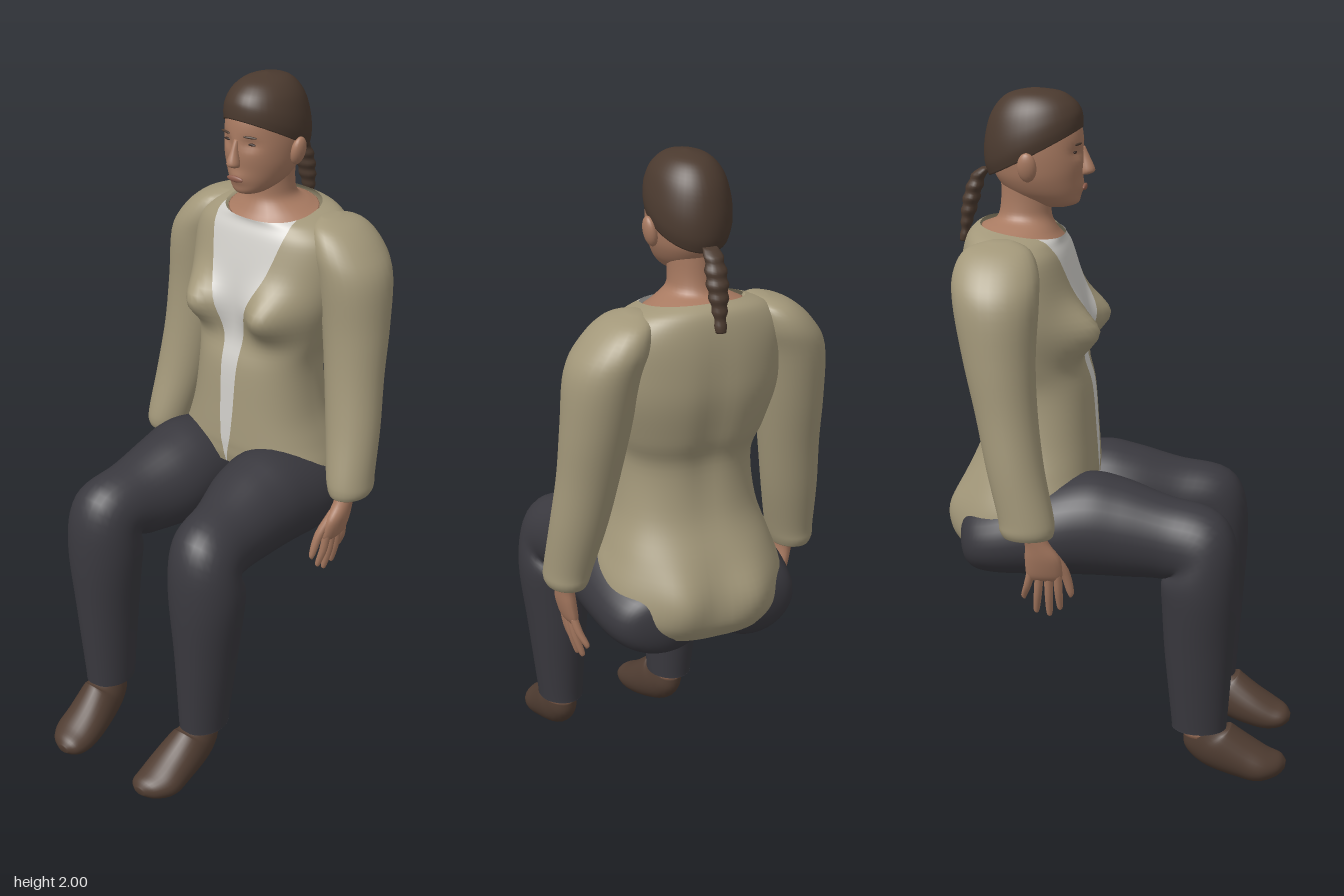
import * as THREE from 'three';

const mat = (name, color, side = THREE.FrontSide) => {
  const m = new THREE.MeshStandardMaterial({ color, side });
  m.name = name;
  return m;
};

// Sections are [x, y, z, halfWidth, halfDepth, tilt, opening], listed downward or forward.
// Tilt 0 is a level ring; a quarter turn stands the ring up, facing +z.
function smoothSections(sections, steps) {
  const out = [];
  const at = (i, k) => sections[Math.min(Math.max(i, 0), sections.length - 1)][k] ?? 0;
  for (let i = 0; i < sections.length - 1; i++) {
    for (let s = 0; s < steps; s++) {
      const t = s / steps;
      out.push([0, 1, 2, 3, 4, 5, 6].map((k) => {
        const [a, b, c, d] = [at(i - 1, k), at(i, k), at(i + 1, k), at(i + 2, k)];
        return b + 0.5 * t * (c - a + t * (2 * a - 5 * b + 4 * c - d + t * (3 * (b - c) + d - a)));
      }));
    }
  }
  out.push([0, 1, 2, 3, 4, 5, 6].map((k) => at(sections.length - 1, k)));
  return out;
}

// Skin a smooth surface over the sections; arc(section) limits it to part of each ring.
function loft(sections, { cols = 28, steps = 5, power = 1, arc = null, bend = null } = {}) {
  const rings = smoothSections(sections, steps);
  const pos = [], index = [];
  const n = arc ? cols + 1 : cols;
  const pow = (v) => Math.sign(v) * Math.abs(v) ** power;
  for (const s of rings) {
    const [x, y, z, rx, rd, tilt] = s;
    const [t0, t1] = arc ? arc(s, power) : [0, Math.PI * 2];
    for (let j = 0; j < n; j++) {
      const t = t0 + (t1 - t0) * j / cols;
      const u = Math.max(rx, 0.002) * pow(Math.cos(t)), v = Math.max(rd, 0.002) * pow(Math.sin(t));
      const p = new THREE.Vector3(x + u, y + v * Math.sin(tilt), z + v * Math.cos(tilt));
      if (bend) bend(p);
      pos.push(p.x, p.y, p.z);
    }
  }
  for (let i = 0; i < rings.length - 1; i++) {
    for (let j = 0; j < cols; j++) {
      const k = (j + 1) % n;
      const a = i * n + j, b = i * n + k, c = a + n, d = b + n;
      index.push(a, b, c, b, d, c);
    }
  }
  if (!arc) { // close both ends
    const last = (rings.length - 1) * n, c0 = pos.length / 3;
    pos.push(...rings[0].slice(0, 3), ...rings[rings.length - 1].slice(0, 3));
    for (let j = 0; j < n; j++) {
      const k = (j + 1) % n;
      index.push(c0, k, j, c0 + 1, last + j, last + k);
    }
  }
  const g = new THREE.BufferGeometry();
  g.setAttribute('position', new THREE.Float32BufferAttribute(pos, 3));
  g.setIndex(index);
  g.computeVertexNormals();
  return g;
}

const bump = (dx, wx, dy, wy) => Math.exp(-((dx / wx) ** 2) - (dy / wy) ** 2);

export function createModel() {
  const root = new THREE.Group();
  const skin = mat('skin', 0xa87a61);
  const hair = mat('hair brown', 0x4b3a2f);
  const jacket = mat('jacket tan', 0xa3987a, THREE.DoubleSide);
  const shirt = mat('shirt white', 0xcfcdc8, THREE.DoubleSide);
  const trousers = mat('trousers charcoal', 0x3a393f);
  const shoe = mat('shoe brown', 0x503d32);
  const lip = mat('lip', 0x8d5c4c);
  const eye = mat('eye dark', 0x3a2b25);

  const add = (name, geometry, material) => {
    const m = new THREE.Mesh(geometry, material);
    m.name = name;
    root.add(m);
    return m;
  };
  const ball = (name, material, p, r) => {
    const m = add(name, new THREE.SphereGeometry(1, 20, 14), material);
    m.position.set(...p);
    m.scale.set(...r);
    return m;
  };
  const flip = (sections, side) => sections.map(([x, ...rest]) => [x * side, ...rest]);

  // Torso: open jacket and the shirt strip share one surface
  const torso = [
    [0, 1.61, -0.29, 0.14, 0.12, -0.15, 0.128],
    [0, 1.59, -0.305, 0.2, 0.135, -0.1, 0.128],
    [0, 1.54, -0.305, 0.245, 0.15, 0, 0.12],
    [0, 1.45, -0.295, 0.25, 0.165, 0, 0.095],
    [0, 1.36, -0.285, 0.24, 0.17, 0, 0.06],
    [0, 1.25, -0.272, 0.208, 0.157, 0, 0.035],
    [0, 1.16, -0.245, 0.185, 0.155, 0, 0.028],
    [0, 1.02, -0.245, 0.2, 0.165, 0, 0.023],
    [0, 0.92, -0.265, 0.232, 0.19, 0.1, 0.017],
    [0, 0.85, -0.28, 0.258, 0.21, 0.25, 0.01],
    [0, 0.8, -0.283, 0.265, 0.218, 0.35, 0.005],
    [0, 0.765, -0.275, 0.255, 0.21, 0.42, 0.002],
  ];
  const bodyShape = (p) => {
    const ax = Math.abs(p.x);
    if (p.z > -0.26) p.z += 0.075 * bump(ax - 0.125, 0.07, p.y - 1.335, 0.07);
    else {
      p.z -= 0.03 * bump(ax - 0.11, 0.075, p.y - 0.8, 0.09);
      p.z += 0.012 * bump(p.x, 0.05, p.y - 1.25, 0.25);
    }
  };
  const edge = (s, power) => Math.acos(Math.min(0.999, Math.max(0, s[6] / s[3])) ** (1 / power));
  const body = { power: 0.85, bend: bodyShape };
  add('jacket', loft(torso, { ...body, cols: 72, arc: (s, p) => [Math.PI - edge(s, p), 2 * Math.PI + edge(s, p)] }), jacket);
  add('shirt', loft(torso, { ...body, cols: 16, arc: (s, p) => [edge(s, p), Math.PI - edge(s, p)] }), shirt);
  ball('trouserSeat', trousers, [0, 0.745, -0.25], [0.13, 0.105, 0.19]);

  // Neck and head
  add('neck', loft([
    [0, 1.75, -0.275, 0.065, 0.075, 0], [0, 1.68, -0.28, 0.062, 0.072, 0],
    [0, 1.64, -0.285, 0.07, 0.078, 0], [0, 1.615, -0.29, 0.11, 0.1, -0.1],
    [0, 1.6, -0.29, 0.139, 0.119, -0.15],
  ]), skin);
  add('head', loft([
    [0, 1.98, -0.25, 0.04, 0.05], [0, 1.95, -0.25, 0.08, 0.1], [0, 1.9, -0.25, 0.098, 0.128],
    [0, 1.84, -0.25, 0.103, 0.135], [0, 1.79, -0.245, 0.1, 0.13], [0, 1.75, -0.24, 0.092, 0.12],
    [0, 1.71, -0.225, 0.073, 0.1], [0, 1.682, -0.2, 0.045, 0.068], [0, 1.67, -0.2, 0.02, 0.035],
  ], {
    cols: 56,
    bend: (p) => {
      if (p.z < -0.2) return;
      p.z -= 0.01 * bump(Math.abs(p.x) - 0.04, 0.022, p.y - 1.828, 0.016);
      p.z += 0.008 * bump(p.x, 0.03, p.y - 1.728, 0.02);
    },
  }), skin);
  add('nose', loft([
    [0, 1.84, -0.12, 0.007, 0.008], [0, 1.81, -0.112, 0.01, 0.014],
    [0, 1.775, -0.106, 0.018, 0.022], [0, 1.763, -0.112, 0.014, 0.014],
  ], { cols: 16 }), skin);
  ball('mouth', lip, [0, 1.727, -0.113], [0.028, 0.009, 0.006]);

  // Hair cap and braided tail
  add('hairCap', loft([
    [0, 2, -0.25, 0.004, 0.004, 0], [0, 1.986, -0.253, 0.055, 0.075, 0.05],
    [0, 1.95, -0.257, 0.09, 0.117, 0.15], [0, 1.9, -0.258, 0.108, 0.142, 0.3],
    [0, 1.855, -0.256, 0.113, 0.152, 0.42], [0, 1.825, -0.25, 0.108, 0.15, 0.48],
  ], { cols: 40 }), hair);
  const braid = [];
  for (let i = 0; i <= 12; i++) {
    const t = i / 12;
    const r = (0.016 + 0.014 * Math.sin(Math.PI * Math.min(1, t + 0.15))) * (i % 2 ? 1.08 : 0.9);
    braid.push([0, 1.775 - 0.21 * t, -0.392 - 0.07 * Math.sqrt(t), r, r * 0.8, 0]);
  }
  add('braid', loft(braid, { cols: 14, steps: 3 }), hair);

  for (const side of [1, -1]) {
    const label = side > 0 ? 'left' : 'right';
    const limb = (name, sections, material, options) =>
      add(label + name, loft(flip(sections, side), options), material);

    // Face details
    ball(label + 'Ear', skin, [side * 0.108, 1.795, -0.258], [0.018, 0.042, 0.027]).rotation.z = -side * 0.2;
    ball(label + 'Eye', eye, [side * 0.04, 1.829, -0.1345], [0.015, 0.004, 0.005]);
    ball(label + 'Brow', hair, [side * 0.043, 1.852, -0.1245], [0.021, 0.0035, 0.004]).rotation.y = side * 0.3;

    // Sleeve
    limb('Sleeve', [
      [0.18, 1.607, -0.32, 0.02, 0.03], [0.205, 1.585, -0.325, 0.062, 0.09],
      [0.238, 1.53, -0.325, 0.092, 0.118], [0.272, 1.45, -0.32, 0.102, 0.118],
      [0.29, 1.3, -0.31, 0.096, 0.1], [0.305, 1.15, -0.29, 0.087, 0.086],
      [0.325, 1, -0.265, 0.08, 0.08], [0.344, 0.87, -0.235, 0.068, 0.078],
      [0.35, 0.83, -0.23, 0.063, 0.077], [0.35, 0.81, -0.228, 0.055, 0.07],
    ], jacket);

    // Hand with four fingers and a thumb
    limb('Palm', [
      [0.347, 0.84, -0.225, 0.03, 0.035], [0.345, 0.79, -0.205, 0.026, 0.034],
      [0.338, 0.74, -0.19, 0.026, 0.05], [0.328, 0.69, -0.187, 0.021, 0.052],
      [0.324, 0.67, -0.187, 0.012, 0.045],
    ], skin, { cols: 18 });
    [[-0.15, -0.148, 0.57], [-0.175, -0.178, 0.55], [-0.2, -0.215, 0.558], [-0.223, -0.25, 0.6]].forEach(([z0, z1, y], i) =>
      limb('Finger' + (i + 1), [
        [0.33, 0.7, z0, 0.012, 0.013], [0.318, (0.7 + y) / 2, (z0 + z1) / 2, 0.012, 0.012],
        [0.301, y + 0.012, z1, 0.009, 0.009], [0.3, y, z1, 0.003, 0.003],
      ], skin, { cols: 10, steps: 3 }));
    limb('Thumb', [
      [0.335, 0.765, -0.175, 0.014, 0.018], [0.315, 0.7, -0.135, 0.014, 0.015],
      [0.302, 0.63, -0.118, 0.01, 0.011], [0.3, 0.61, -0.117, 0.003, 0.003],
    ], skin, { cols: 10, steps: 4 });

    // Trouser leg: forward along the thigh, over the knee, then down
    const up = Math.PI / 2;
    limb('TrouserLeg', [
      [0.11, 0.735, -0.465, 0.03, 0.03, up], [0.132, 0.732, -0.435, 0.11, 0.088, up],
      [0.147, 0.738, -0.36, 0.142, 0.112, up], [0.152, 0.768, -0.2, 0.152, 0.138, up],
      [0.152, 0.782, -0.08, 0.146, 0.15, up], [0.154, 0.773, 0.02, 0.135, 0.142, up],
      [0.172, 0.755, 0.14, 0.112, 0.12, 1.45], [0.19, 0.735, 0.23, 0.108, 0.118, 0.8],
      [0.197, 0.62, 0.24, 0.112, 0.112, 0.1], [0.195, 0.42, 0.24, 0.089, 0.1, 0],
      [0.188, 0.2, 0.243, 0.069, 0.082, 0], [0.188, 0.175, 0.243, 0.067, 0.081, 0],
    ], trousers, { cols: 32, steps: 6 });

    // Ankle and shoe
    limb('Ankle', [[0.187, 0.23, 0.245, 0.046, 0.052], [0.186, 0.15, 0.25, 0.046, 0.054]], skin);
    limb('Shoe', [
      [0.185, 0.165, 0.255, 0.047, 0.06, 0.25], [0.183, 0.14, 0.268, 0.053, 0.074, 0.5],
      [0.18, 0.113, 0.302, 0.061, 0.075, 1], [0.173, 0.076, 0.37, 0.068, 0.063, 1.15],
      [0.17, 0.051, 0.43, 0.068, 0.05, 1.2], [0.16, 0.046, 0.475, 0.05, 0.033, 1.3],
      [0.155, 0.046, 0.497, 0.018, 0.012, 1.4],
    ], shoe);
  }
  return root;
}
